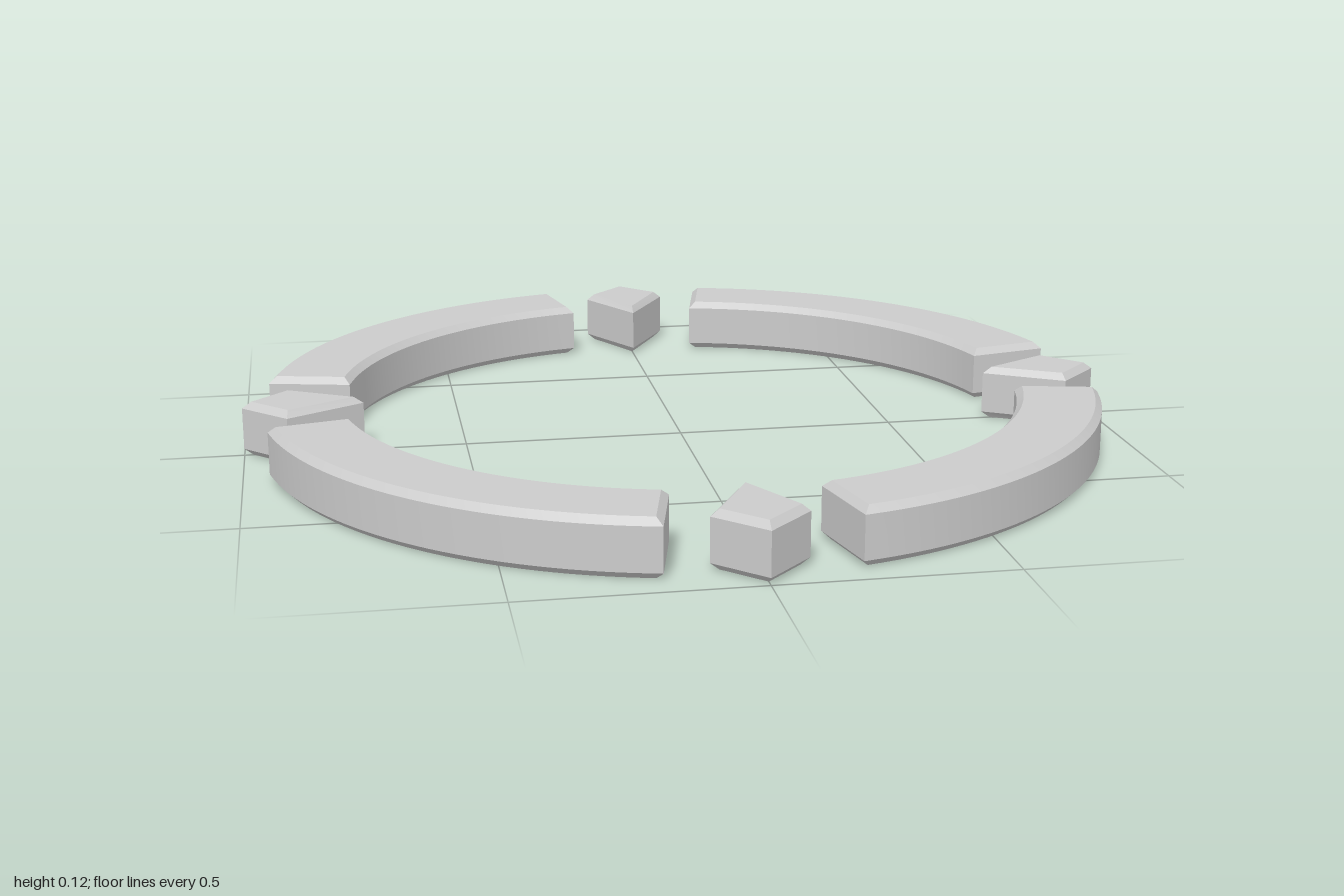
import * as THREE from 'three';
import { toCreasedNormals } from 'three/addons/utils/BufferGeometryUtils.js';

const HEIGHT = 0.125, BEVEL = 0.015;

// Lay a flat outline on the ground as a bevelled slab
function slab(shape) {
  const geometry = new THREE.ExtrudeGeometry(shape, {
    depth: HEIGHT - 2 * BEVEL, curveSegments: 16,
    bevelThickness: BEVEL, bevelSize: BEVEL, bevelSegments: 1,
  });
  geometry.translate(0, 0, BEVEL);
  geometry.rotateX(-Math.PI / 2);
  return toCreasedNormals(geometry, 0.4);
}

export function createModel() {
  const group = new THREE.Group();
  const material = new THREE.MeshStandardMaterial({ color: 0xcccccc });

  // Curved ring segment filling most of one quadrant
  const start = THREE.MathUtils.degToRad(12.7), end = Math.PI / 2 - start;
  const arc = new THREE.Shape();
  arc.absarc(0, 0, 0.947, start, end, false);
  arc.absarc(0, 0, 0.787, end, start, true);
  arc.closePath();
  const arcGeometry = slab(arc);

  // Kite-shaped marker, long point toward the centre
  const kite = new THREE.Shape([[0.979, 0], [0.898, 0.081], [0.751, 0], [0.898, -0.081]]
    .map(([x, y]) => new THREE.Vector2(x, y)));
  const kiteGeometry = slab(kite);

  // Four of each around the circle
  for (let i = 0; i < 4; i++) {
    for (const [name, geometry] of [['ringSegment', arcGeometry], ['kiteMarker', kiteGeometry]]) {
      const mesh = new THREE.Mesh(geometry, material);
      mesh.name = name + (i + 1);
      mesh.rotation.y = i * Math.PI / 2;
      group.add(mesh);
    }
  }
  return group;
}
